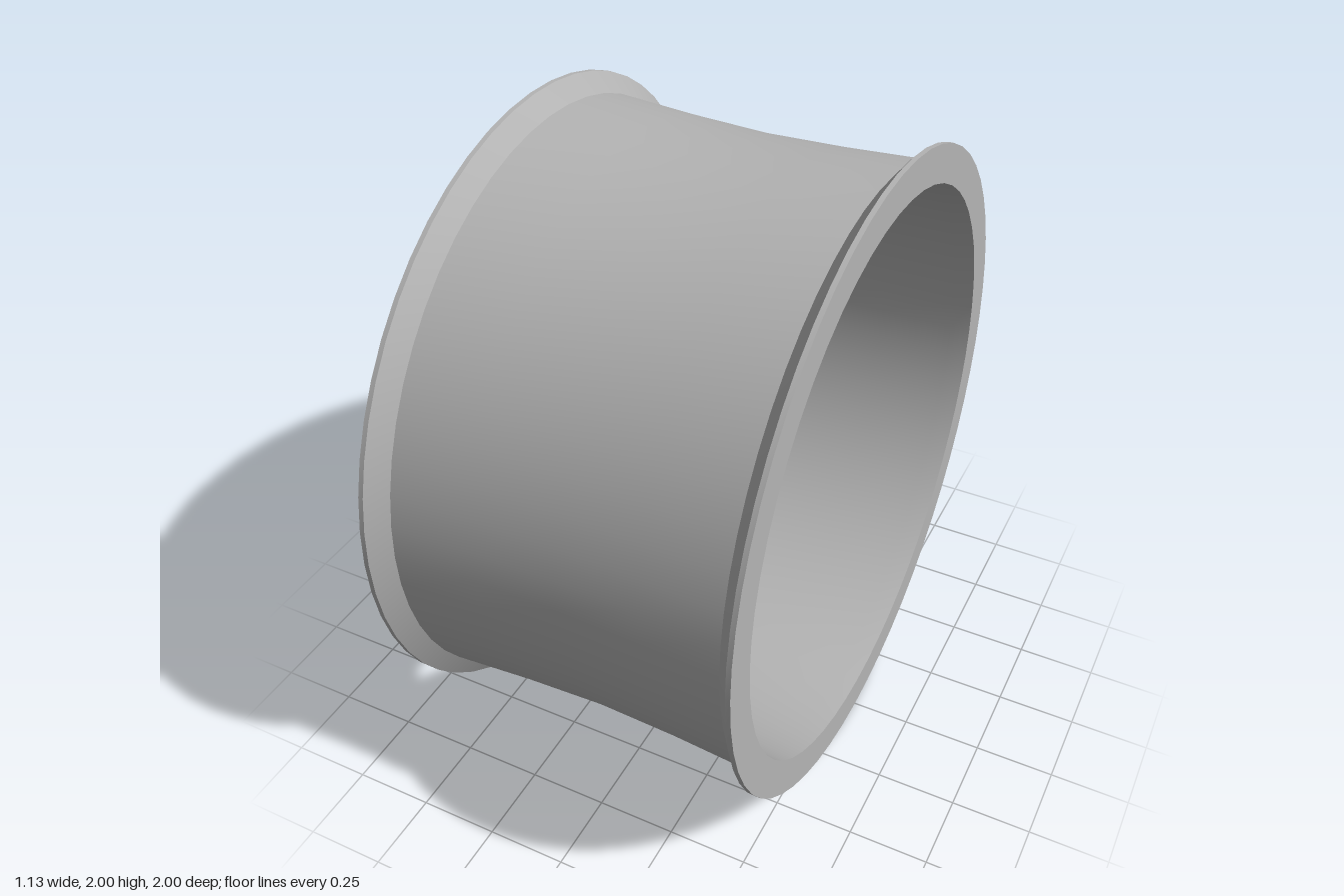
import * as THREE from 'three';
import { toCreasedNormals } from 'three/addons/utils/BufferGeometryUtils.js';

const TAU = Math.PI * 2;
const V = (x, y) => new THREE.Vector2(x, y);

// Ring of points around a centre
function ring(radius, sides, start = 0, cx = 0, cy = 0) {
  return Array.from({ length: sides }, (_, i) => {
    const a = start + (i / sides) * TAU;
    return V(cx + radius * Math.cos(a), cy + radius * Math.sin(a));
  });
}

// Window between two spokes: arched towards the hub, rounded with the rim outside
function windowPoints(turn) {
  const half = [[0.265, -0.73], [0.25, -0.66], [0.215, -0.55], [0.18, -0.47], [0.13, -0.385], [0.07, -0.34]];
  const arch = [
    ...half.map(([x, y]) => V(x, y)),
    V(0, -0.325),
    ...half.slice().reverse().map(([x, y]) => V(-x, y)),
  ];
  const points = new THREE.SplineCurve(arch).getPoints(36);
  const spread = Math.atan2(0.265, 0.73);
  for (let i = 1; i < 10; i++) {
    const a = -Math.PI / 2 - spread + (2 * spread * i) / 10;
    points.push(V(0.775 * Math.cos(a), 0.775 * Math.sin(a)));
  }
  return points.map((p) => p.rotateAround(V(0, 0), turn));
}

// Flat plate across the wheel axis, from x0 to x1
function plate(outline, holes, x0, x1) {
  const shape = new THREE.Shape(outline);
  shape.holes = holes.map((h) => new THREE.Path(h));
  const g = new THREE.ExtrudeGeometry(shape, { depth: x1 - x0, bevelEnabled: false });
  g.translate(0, 0, x0);
  g.rotateY(Math.PI / 2);
  return toCreasedNormals(g, 0.5);
}

export function createModel() {
  const group = new THREE.Group();
  const metal = new THREE.MeshStandardMaterial({ color: 0xb4b4b4 });
  metal.name = 'greyMetal';

  const add = (name, geometry) => {
    const mesh = new THREE.Mesh(geometry, metal);
    mesh.name = name;
    mesh.position.y = 1;
    group.add(mesh);
  };

  // Barrel with a flared lip at both ends: closed profile of radius and axial position
  const profile = [
    [0.885, -0.565], [1, -0.565], [1, -0.55], [0.94, -0.505], [0.925, -0.25], [0.917, 0],
    [0.925, 0.25], [0.94, 0.505], [1, 0.55], [1, 0.565], [0.885, 0.565],
    [0.88, 0.5], [0.872, 0.25], [0.868, 0], [0.872, -0.25], [0.88, -0.5], [0.885, -0.565],
  ].map(([r, x]) => V(r, x));
  const barrel = new THREE.LatheGeometry(profile, 56);
  barrel.rotateZ(-Math.PI / 2);
  add('rimBarrel', toCreasedNormals(barrel, 0.5));

  // Shared openings: five windows, five bolt holes, centre bore
  const windows = [];
  const bolts = [];
  for (let i = 0; i < 5; i++) {
    const turn = (i / 5) * TAU;
    windows.push(windowPoints(turn));
    const a = turn - Math.PI / 2;
    bolts.push(ring(0.034, 6, a, 0.213 * Math.cos(a), 0.213 * Math.sin(a)));
  }
  const bore = ring(0.125, 20);
  const disc = ring(0.89, 56);

  // Spoke disc: closed outer layer, inner layer opened by the bore
  add('spokeFace', plate(disc, [...windows, ...bolts], -0.1, -0.06));
  add('spokeBack', plate(disc, [...windows, ...bolts, bore], -0.06, 0));

  // Raised ten-sided mounting pad
  add('hubPad', plate(ring(0.325, 10, Math.PI / 2), [...bolts, bore], 0, 0.05));

  return group;
}
